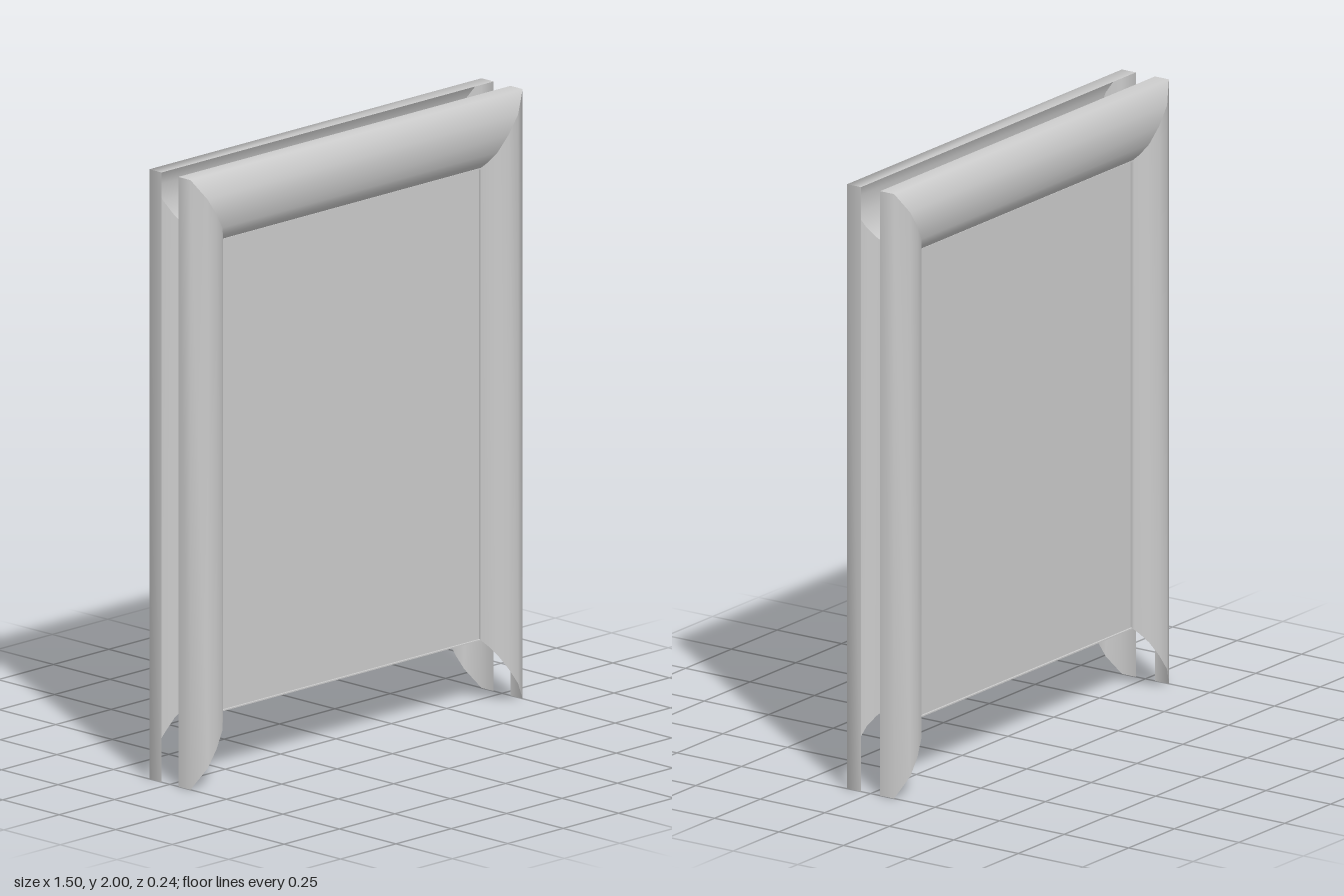
import * as THREE from 'three';

const grey = new THREE.MeshStandardMaterial({ color: 0xcccccc, side: THREE.DoubleSide });

// Inner and outer corners of the mitred moulding path
const inner = { x: 0.585, bottom: 0.22, top: 1.77 };
const outer = { x: 0.75, bottom: 0, top: 2 };

// Moulding section as [t from inner to outer edge, z]: rounded face, chamfer, outer wall
const section = [[0, 0.068], [0.08, 0.086], [0.22, 0.106], [0.45, 0.118],
  [0.7, 0.119], [1, 0.091], [1, 0.037]];

// Point on the mitre line of a corner
function mitrePoint([sx, end], [t, z]) {
  return [sx * THREE.MathUtils.lerp(inner.x, outer.x, t),
    THREE.MathUtils.lerp(inner[end], outer[end], t), z];
}

// Hollow length of moulding between two mitre lines
function trim(name, from, to) {
  const positions = [], index = [];
  section.forEach((p, i) => {
    positions.push(...mitrePoint(from, p), ...mitrePoint(to, p));
    if (i === 0) return;
    const a = 2 * i - 2;
    index.push(a, a + 2, a + 1, a + 1, a + 2, a + 3);
  });
  const geometry = new THREE.BufferGeometry();
  geometry.setAttribute('position', new THREE.Float32BufferAttribute(positions, 3));
  geometry.setIndex(index);
  geometry.computeVertexNormals();
  const mesh = new THREE.Mesh(geometry, grey);
  mesh.name = name;
  return mesh;
}

// Three-sided moulding, open at the bottom
function moulding(name) {
  const group = new THREE.Group();
  group.name = name;
  const corners = [[1, 'bottom'], [1, 'top'], [-1, 'top'], [-1, 'bottom']];
  ['leftTrim', 'topTrim', 'rightTrim'].forEach((part, i) => {
    group.add(trim(part, corners[i], corners[i + 1]));
  });
  return group;
}

function box(name, w, h, d, x, y) {
  const mesh = new THREE.Mesh(new THREE.BoxGeometry(w, h, d), grey);
  mesh.name = name;
  mesh.position.set(x, y, 0);
  return mesh;
}

export function createModel() {
  const model = new THREE.Group();
  model.name = 'framedPanel';

  // Thick central panel, set just behind a fine rim
  const height = inner.top - inner.bottom;
  const middle = (inner.top + inner.bottom) / 2;
  const rim = 0.004, depth = 0.14;
  model.add(box('panel', 2 * (inner.x - rim), height - 2 * rim, 0.126, 0, middle));
  for (const s of [-1, 1]) {
    model.add(box(s > 0 ? 'leftRim' : 'rightRim', rim, height, depth,
      s * (inner.x - rim / 2), middle));
    model.add(box(s > 0 ? 'topRim' : 'bottomRim', 2 * (inner.x - rim), rim, depth,
      0, middle + s * (height - rim) / 2));
  }

  // Matching mouldings on both sides
  const back = moulding('backMoulding');
  back.rotation.y = Math.PI;
  model.add(moulding('frontMoulding'), back);
  return model;
}
